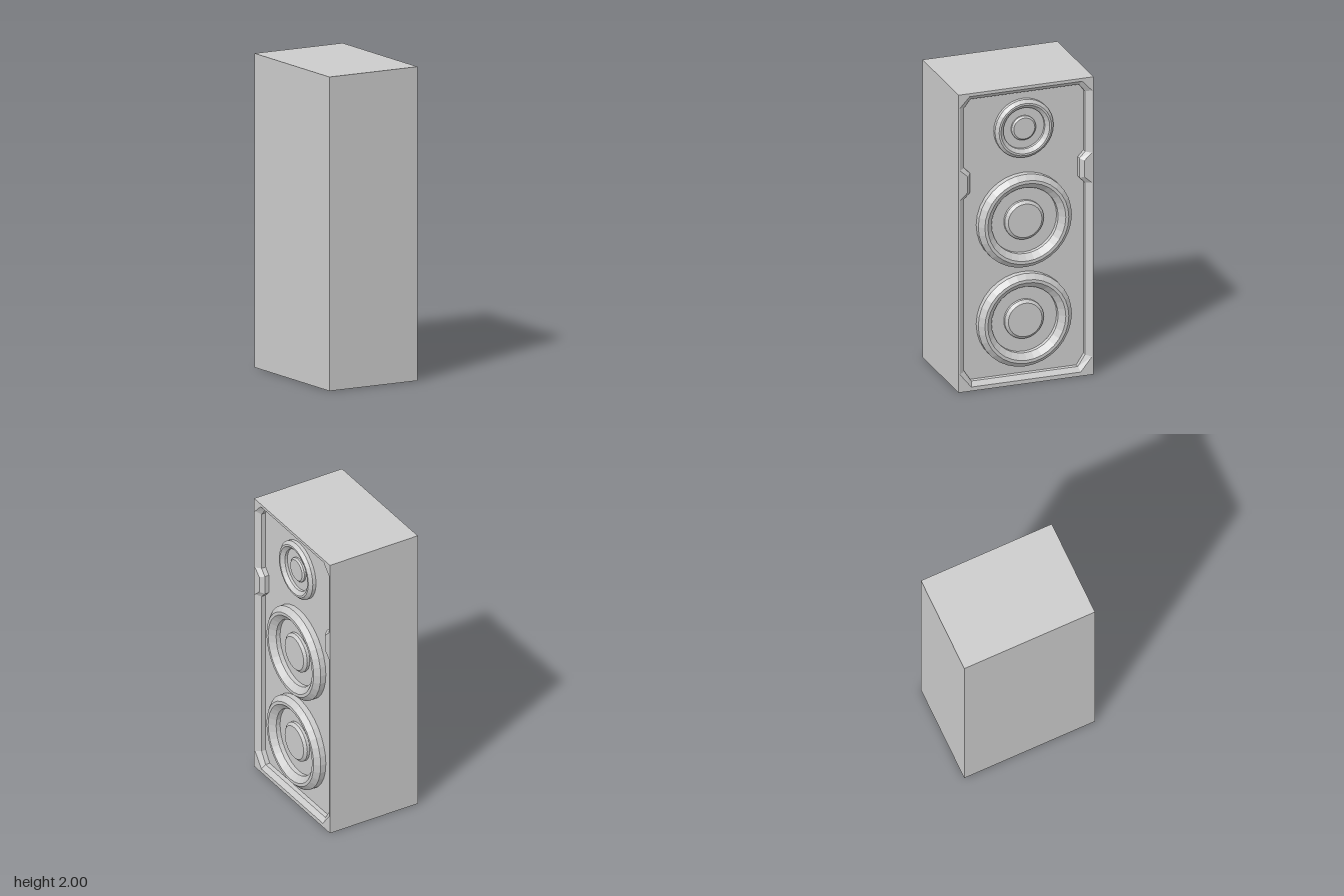
import * as THREE from 'three';

const material = new THREE.MeshStandardMaterial({ color: 0xcccccc, flatShading: true });

const BACK = -0.33, FRONT = 0.315, STEP = 0.29, PANEL = 0.26; // depths along x
const HEIGHT = 2, HALF_WIDTH = 0.45;

function addMesh(parent, name, geometry) {
  const mesh = new THREE.Mesh(geometry, material);
  mesh.name = name;
  parent.add(mesh);
  return mesh;
}

// Mirrors one half of an outline (bottom to top) into a closed counter-clockwise loop
function mirrored(half) {
  const points = half.map(([u, v]) => new THREE.Vector2(u, v));
  return [...points, ...points.map((p) => new THREE.Vector2(-p.x, p.y)).reverse()];
}

// Inward-facing wall between two matching outlines at different depths
function wallGeometry(top, zTop, bottom, zBottom) {
  const positions = [];
  top.forEach((a, i) => {
    const j = (i + 1) % top.length;
    const a0 = [a.x, a.y, zTop], a1 = [top[j].x, top[j].y, zTop];
    const b0 = [bottom[i].x, bottom[i].y, zBottom], b1 = [bottom[j].x, bottom[j].y, zBottom];
    positions.push(...a0, ...a1, ...b0, ...a1, ...b1, ...b0);
  });
  const geometry = new THREE.BufferGeometry();
  geometry.setAttribute('position', new THREE.Float32BufferAttribute(positions, 3));
  geometry.computeVertexNormals();
  return geometry;
}

// Raised ring, sunken cone floor and centre cap in one turned profile
function createDriver(name, y, scale) {
  const profile = [
    [0.312, -0.005], [0.312, 0.038], [0.28, 0.07], [0.26, 0.07], [0.222, 0.035], [0.222, 0.006],
    [0.13, 0.006], [0.13, 0.024], [0.112, 0.04], [0, 0.04],
  ].map(([r, h]) => new THREE.Vector2(r, h));
  const group = new THREE.Group();
  group.name = name;
  const turned = addMesh(group, name + 'Cone', new THREE.LatheGeometry(profile, 32));
  turned.rotation.z = -Math.PI / 2;
  group.scale.setScalar(scale);
  group.position.set(PANEL, y, 0);
  return group;
}

export function createModel() {
  const model = new THREE.Group();
  model.name = 'loudspeaker';

  // Cabinet: a box left open on its speaker side
  const box = new THREE.BoxGeometry(FRONT - BACK, HEIGHT, HALF_WIDTH * 2);
  box.setIndex(Array.from(box.index.array).slice(6));
  box.clearGroups();
  addMesh(model, 'cabinet', box).position.set((FRONT + BACK) / 2, HEIGHT / 2, 0);

  // Recess outlines with cut corners and a notch on each side
  const outer = mirrored([
    [0.365, 0.027], [0.44, 0.12], [0.44, 1.29], [0.39, 1.335],
    [0.39, 1.445], [0.44, 1.49], [0.44, 1.91], [0.375, 1.98],
  ]);
  const inner = mirrored([
    [0.355, 0.057], [0.403, 0.13], [0.403, 1.285], [0.365, 1.325],
    [0.365, 1.455], [0.403, 1.495], [0.403, 1.9], [0.362, 1.952],
  ]);

  // Speaker side, drawn facing +z and turned to +x
  const baffle = new THREE.Group();
  baffle.name = 'baffle';
  baffle.rotation.y = Math.PI / 2;
  const rim = new THREE.Shape(mirrored([[HALF_WIDTH, 0], [HALF_WIDTH, HEIGHT]]));
  rim.holes.push(new THREE.Path(outer));
  addMesh(baffle, 'rim', new THREE.ShapeGeometry(rim)).position.z = FRONT;
  addMesh(baffle, 'rimBevel', wallGeometry(outer, FRONT, inner, STEP));
  addMesh(baffle, 'recessWall', wallGeometry(inner, STEP, inner, PANEL));
  addMesh(baffle, 'recessPanel', new THREE.ShapeGeometry(new THREE.Shape(inner))).position.z = PANEL;
  model.add(baffle);

  // Drivers
  model.add(createDriver('lowerWoofer', 0.422, 1));
  model.add(createDriver('upperWoofer', 1.088, 1));
  model.add(createDriver('tweeter', 1.703, 0.625));

  return model;
}
